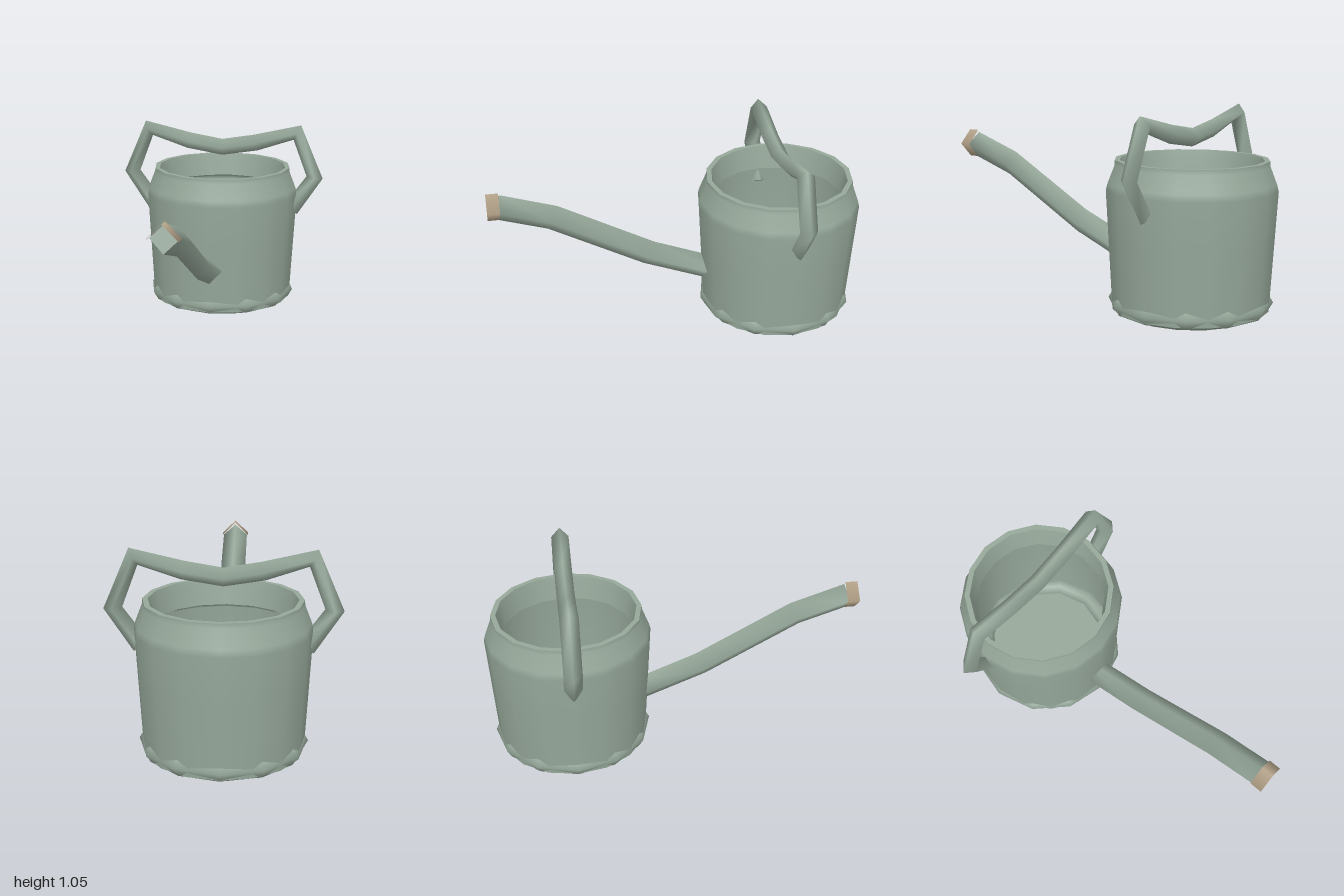
import * as THREE from 'three';
import { mergeGeometries } from 'three/addons/utils/BufferGeometryUtils.js';

const BODY_Z = -0.56;

// Smooth four-sided tube along a planar path, with flat caps; side is the normal of the path's plane
function diamondTube(path, radius, side) {
  const pts = path.map((p) => new THREE.Vector3(...p));
  const pos = [], idx = [], n = pts.length;
  const dir = (i) => pts[i + 1].clone().sub(pts[i]).normalize();
  const quad = (a, b, c, d) => idx.push(a, b, c, a, c, d);
  pts.forEach((p, i) => {
    const t = dir(Math.max(i - 1, 0)).add(dir(Math.min(i, n - 2))).normalize();
    const up = side.clone().cross(t);
    for (let j = 0; j < 4; j++) {
      const a = j * Math.PI / 2;
      const v = p.clone().addScaledVector(up, radius * Math.cos(a)).addScaledVector(side, radius * Math.sin(a));
      pos.push(v.x, v.y, v.z);
      if (i < n - 1) {
        const k = (j + 1) % 4;
        quad(i * 4 + j, i * 4 + k, i * 4 + 4 + k, i * 4 + 4 + j);
      }
    }
  });
  // caps use their own corners so they stay crisp
  pos.push(...pos.slice(0, 12), ...pos.slice((n - 1) * 12, n * 12));
  const s = n * 4, e = s + 4;
  quad(s, s + 3, s + 2, s + 1);
  quad(e, e + 1, e + 2, e + 3);
  const g = new THREE.BufferGeometry();
  g.setAttribute('position', new THREE.Float32BufferAttribute(pos, 3));
  g.setIndex(idx);
  g.computeVertexNormals();
  return g;
}

// Each profile is smooth; edges between profiles stay sharp
function turned(profiles) {
  return mergeGeometries(profiles.map((p) =>
    new THREE.LatheGeometry(p.map(([r, y]) => new THREE.Vector2(r, y)), 16)));
}

export function createModel() {
  const model = new THREE.Group();
  model.name = 'wateringCan';
  const green = new THREE.MeshStandardMaterial({ color: 0x97a99b });
  green.name = 'sageGreen';
  const tan = new THREE.MeshStandardMaterial({ color: 0xb8a68c });
  tan.name = 'tan';
  const add = (name, geometry, material, x = 0, y = 0, z = 0) => {
    const mesh = new THREE.Mesh(geometry, material);
    mesh.name = name;
    mesh.position.set(x, y, z);
    model.add(mesh);
  };

  // Vessel: foot, outer wall, rim, inner wall and floor
  add('body', turned([
    [[0, 0], [0.335, 0]],
    [[0.335, 0], [0.4, 0.03]],
    [[0.405, 0.03], [0.412, 0.15], [0.426, 0.4], [0.44, 0.65], [0.431, 0.685], [0.396, 0.775], [0.395, 0.8]],
    [[0.395, 0.8], [0.368, 0.8]],
    [[0.368, 0.8], [0.36, 0.76], [0.345, 0.67]],
    [[0.345, 0.67], [0.405, 0.64], [0.39, 0.05]],
    [[0.39, 0.05], [0, 0.05]],
  ]), green, 0, 0, BODY_Z);

  // Coarse ring that breaks through the wall near the foot
  const ring = new THREE.TorusGeometry(0.375, 0.05, 6, 12);
  ring.rotateX(Math.PI / 2);
  add('footRing', ring, green, 0, 0.066, BODY_Z);

  // Arched handle, mirrored about the middle
  const half = [[0.405, 0.555, 0], [0.54, 0.75, 0], [0.435, 1.008, 0], [0.195, 0.942, 0]];
  const mirrored = half.map(([x, y, z]) => [-x, y, z]).reverse();
  add('handle', diamondTube([...half, [0, 0.91, 0], ...mirrored], 0.047, new THREE.Vector3(0, 0, 1)),
    green, 0, 0, BODY_Z);

  // Spout
  add('spout', diamondTube(
    [[0, 0.235, -0.26], [0, 0.4, 0.155], [0, 0.678, 0.665], [0, 0.771, 0.95]],
    0.071, new THREE.Vector3(1, 0, 0)), green);

  // Open collar around the spout tip
  const collar = new THREE.CylinderGeometry(0.078, 0.078, 0.066, 4, 1, true);
  collar.rotateX(Math.PI / 2);
  add('spoutCollar', collar, tan, 0, 0.772, 0.967);

  return model;
}
